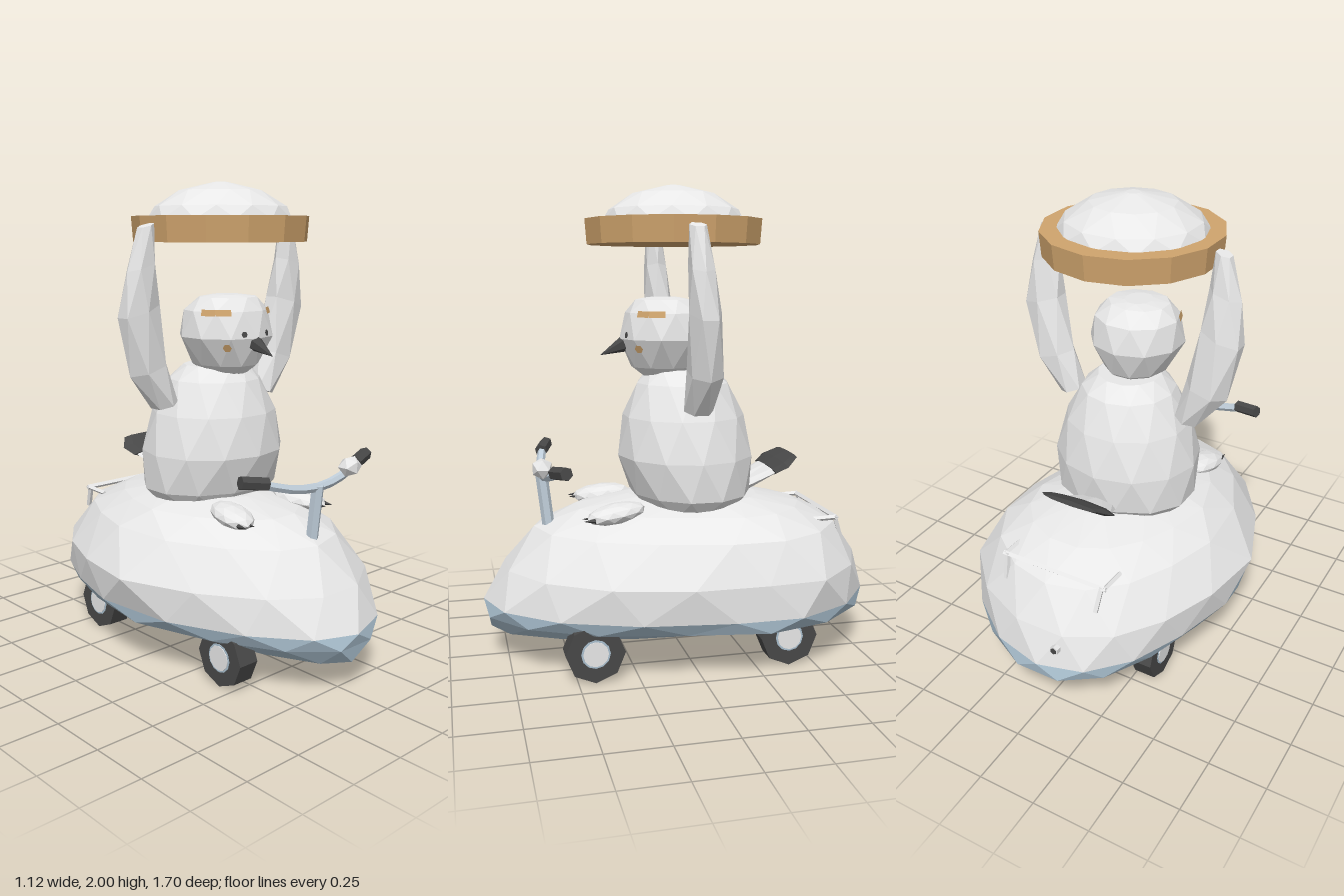
import * as THREE from 'three';

const V = (x, y, z) => new THREE.Vector3(x, y, z);
const material = (name, color) => {
  const m = new THREE.MeshStandardMaterial({ color });
  m.name = name;
  return m;
};

// Faceted mesh: unshared corners give every face its own normal
function facet(name, geometry, mat) {
  const g = geometry.index ? geometry.toNonIndexed() : geometry;
  g.computeVertexNormals();
  const mesh = new THREE.Mesh(g, mat);
  mesh.name = name;
  return mesh;
}

// Skin over a stack of rings, closed at both ends; staggered rings get alternating diagonals
function loft(rings, first = 0, capStart = true, capEnd = true) {
  const p = [];
  const tri = (...c) => c.forEach((v) => p.push(v.x, v.y, v.z));
  const n = rings[0].length;
  const middle = (r) => r.reduce((s, v) => s.add(v), V(0, 0, 0)).divideScalar(n);
  const last = rings[rings.length - 1];
  const c0 = middle(rings[0]), c1 = middle(last);
  for (let j = 0; j < n; j++) {
    const k = (j + 1) % n;
    for (let i = 0; i + 1 < rings.length; i++) {
      const a = rings[i], b = rings[i + 1];
      if ((i + first) % 2 === 0) {
        tri(a[j], a[k], b[j]);
        tri(a[k], b[k], b[j]);
      } else {
        tri(a[j], a[k], b[k]);
        tri(a[j], b[k], b[j]);
      }
    }
    if (capStart) tri(c0, rings[0][k], rings[0][j]);
    if (capEnd) tri(c1, last[j], last[k]);
  }
  const g = new THREE.BufferGeometry();
  g.setAttribute('position', new THREE.Float32BufferAttribute(p, 3));
  return g;
}

// Ring of n points from a rule taking sin, cos; odd rings are turned half a step
const ring = (n, i, rule) => Array.from({ length: n }, (_, j) => {
  const a = ((j + (i % 2) / 2) / n) * Math.PI * 2;
  return rule(Math.sin(a), Math.cos(a));
});

// Stacked level rings: [y, half width, front z, back z]
const stack = (n, rows, zc = null) => rows.map(([y, w, f, b], i) => ring(n, i, (s, c) => {
  const m = zc === null ? (f + b) / 2 : zc;
  return V(w * s, y, m + c * (c > 0 ? f - m : m - b));
}));

function rod(name, a, b, r, mat, sides = 6) {
  const mesh = facet(name, new THREE.CylinderGeometry(r, r, a.distanceTo(b), sides), mat);
  mesh.position.copy(a).lerp(b, 0.5);
  mesh.quaternion.setFromUnitVectors(V(0, 1, 0), b.clone().sub(a).normalize());
  return mesh;
}

export function createModel() {
  const white = material('off white', 0xe8e8e8);
  const blue = material('pale blue', 0xa9bfce);
  const steel = material('light steel', 0xc2d0dc);
  const tan = material('tan', 0xcfa46d);
  const dark = material('charcoal', 0x484848);

  const model = new THREE.Group();
  model.name = 'birdOnScooter';

  // Egg-shaped cart: slimmer at the front right, fuller and flatter along the left
  const hull = stack(16, [
    [0.13, 0.33, 0.82, -0.66], [0.2, 0.51, 0.85, -0.85], [0.255, 0.55, 0.85, -0.845],
    [0.4, 0.575, 0.765, -0.80], [0.56, 0.46, 0.63, -0.70], [0.64, 0.345, 0.45, -0.53],
    [0.683, 0.21, 0.22, -0.34],
  ], -0.12);
  hull.forEach((r, i) => r.forEach((v) => {
    if (v.z > 0 && v.x < 0) v.x *= 1 - 0.22 * v.z;
    if (v.z < 0 && i > 0) v.x -= 0.36 * v.z * Math.max(0, 0.85 + v.z);
    v.x = Math.min(v.x, 0.56);
  }));
  model.add(facet('cartUnderside', loft(hull.slice(0, 3), 0, true, false), blue));
  model.add(facet('cartBody', loft(hull.slice(2), 2, false, true), white));

  // Everything else sits slightly to the left of the cart's middle
  const rig = new THREE.Group();
  rig.name = 'riderAndFittings';
  rig.position.x = 0.03;
  model.add(rig);

  // Wheels with hubs on both sides
  for (const x of [-0.335, 0.335]) for (const z of [0.43, -0.39]) {
    const wheel = new THREE.Group();
    wheel.name = 'wheel';
    wheel.add(facet('tyre', new THREE.CylinderGeometry(0.122, 0.122, 0.094, 8), dark));
    wheel.add(facet('hubRim', new THREE.CylinderGeometry(0.06, 0.06, 0.098, 12), blue));
    wheel.add(facet('hub', new THREE.CylinderGeometry(0.052, 0.052, 0.104, 12), white));
    wheel.rotation.z = Math.PI / 2;
    wheel.position.set(x, 0.122, z);
    rig.add(wheel);
  }

  // Bird torso and head
  rig.add(facet('torso', loft(stack(12, [
    [0.62, 0.25, 0.15, -0.24], [0.7, 0.32, 0.21, -0.31], [0.86, 0.325, 0.265, -0.325],
    [1.03, 0.28, 0.24, -0.285], [1.17, 0.205, 0.18, -0.22], [1.23, 0.14, 0.13, -0.15],
  ])), white));
  const head = facet('head', loft(stack(10, [
    [1.185, 0.07, 0.13, -0.04], [1.24, 0.138, 0.205, -0.1], [1.36, 0.207, 0.255, -0.145],
    [1.47, 0.185, 0.228, -0.12], [1.525, 0.135, 0.185, -0.05], [1.535, 0.06, 0.13, 0],
  ])), white);

  // Face marks laid flat on the head, found by casting rays at it
  head.updateMatrixWorld();
  const ray = new THREE.Raycaster();
  const mark = (name, degrees, y, geometry, mat) => {
    const a = THREE.MathUtils.degToRad(degrees);
    const out = V(Math.sin(a), 0, Math.cos(a));
    ray.set(V(0, y, 0.06).addScaledVector(out, 1), out.clone().negate());
    const hit = ray.intersectObject(head)[0];
    if (!hit) return;
    const m = facet(name, geometry, mat);
    m.position.copy(hit.point).addScaledVector(hit.face.normal, 0.005);
    m.lookAt(m.position.clone().add(hit.face.normal));
    rig.add(m);
  };
  for (const side of [-1, 1]) {
    for (const d of [43, 53, 63, 73]) mark('brow', side * d, 1.465, new THREE.PlaneGeometry(0.036, 0.027), tan);
    mark('cheek', side * 42, 1.325, new THREE.CircleGeometry(0.019, 6), tan);
    mark('eye', side * 20, 1.378, new THREE.CircleGeometry(0.014, 6), dark);
  }
  rig.add(head);

  // Beak, tipped slightly down
  const beak = facet('beak', new THREE.ConeGeometry(0.04, 0.13, 6), dark);
  beak.position.set(0, 1.318, 0.28);
  beak.rotation.x = Math.PI / 2 + 0.42;
  rig.add(beak);

  // Raised flippers: [x, y, z, half width, half depth], from shoulder to tip
  const flipper = [
    [0.285, 1.08, -0.018, 0.055, 0.062], [0.368, 1.24, -0.022, 0.092, 0.074],
    [0.422, 1.48, -0.008, 0.095, 0.066], [0.42, 1.66, 0.008, 0.07, 0.052],
    [0.402, 1.82, 0.018, 0.034, 0.035],
  ];
  for (const side of [-1, 1]) {
    rig.add(facet(side < 0 ? 'rightFlipper' : 'leftFlipper', loft(flipper.map(([x, y, z, w, d], i) =>
      ring(6, i, (s, c) => V(side * x + w * s, y - side * w * s * 0.3, z + d * c)))), white));
  }

  // Fanned tail with a dark tip: [y, z, half width, half thickness]
  const fan = (rows) => loft(rows.map(([y, z, w, h]) => ring(8, 0, (s, c) => V(w * s, y + h * c, z + h * c * 0.4))));
  rig.add(facet('tail', fan([[0.7, -0.27, 0.08, 0.03], [0.785, -0.425, 0.14, 0.015]]), white));
  rig.add(facet('tailTip', fan([[0.775, -0.405, 0.15, 0.018], [0.805, -0.45, 0.178, 0.018], [0.84, -0.505, 0.13, 0.01]]), dark));

  // Feet with claws
  for (const side of [-1, 1]) {
    const foot = facet('foot', new THREE.IcosahedronGeometry(1, 1), white);
    foot.scale.set(0.078, 0.042, 0.13);
    foot.position.set(side * 0.2, 0.652, 0.31);
    foot.rotation.set(0.12, side * 0.25, 0);
    rig.add(foot);
    for (const k of [-1, 1]) {
      const claw = facet('claw', new THREE.ConeGeometry(0.011, 0.05, 4), dark);
      claw.position.set(side * 0.235 + k * 0.022, 0.638, 0.43);
      claw.rotation.x = Math.PI / 2;
      rig.add(claw);
    }
  }

  // Domed platter held overhead
  const platter = facet('platter', new THREE.CylinderGeometry(0.378, 0.37, 0.105, 14), tan);
  platter.position.set(0, 1.807, 0.02);
  rig.add(platter);
  rig.add(facet('dome', loft(stack(12, [
    [1.845, 0.32, 0.325, -0.285], [1.9, 0.285, 0.295, -0.255], [1.965, 0.18, 0.195, -0.155],
    [2.0, 0.03, 0.05, -0.01],
  ])), white));

  // Handlebar on its stem, with grips and a bell
  const bar = new THREE.CatmullRomCurve3([V(-0.3, 0.85, 0.56), V(-0.15, 0.807, 0.585),
    V(0, 0.79, 0.595), V(0.15, 0.807, 0.585), V(0.3, 0.85, 0.56)]);
  rig.add(facet('handlebar', new THREE.TubeGeometry(bar, 8, 0.019, 6), steel));
  rig.add(rod('steeringStem', V(0, 0.55, 0.568), V(0, 0.8, 0.597), 0.026, steel));
  for (const side of [-1, 1]) {
    rig.add(rod('grip', V(side * 0.26, 0.845, 0.57), V(side * 0.372, 0.862, 0.535), 0.028, dark));
  }
  const bell = facet('bell', new THREE.IcosahedronGeometry(0.045, 0), white);
  bell.scale.x = 1.25;
  bell.position.set(0.18, 0.85, 0.61);
  rig.add(bell);

  // Rear rail and small exhaust
  rig.add(rod('rearRail', V(-0.25, 0.59, -0.645), V(0.25, 0.59, -0.645), 0.012, white, 4));
  for (const side of [-1, 1]) {
    rig.add(rod('railArm', V(side * 0.242, 0.585, -0.52), V(side * 0.242, 0.59, -0.65), 0.011, white, 4));
    rig.add(rod('railLeg', V(side * 0.23, 0.595, -0.645), V(side * 0.22, 0.49, -0.68), 0.012, white, 4));
  }
  rig.add(rod('exhaust', V(-0.106, 0.34, -0.74), V(-0.106, 0.345, -0.825), 0.02, white));
  rig.add(rod('exhaustOpening', V(-0.106, 0.345, -0.822), V(-0.106, 0.345, -0.828), 0.014, dark));

  return model;
}
